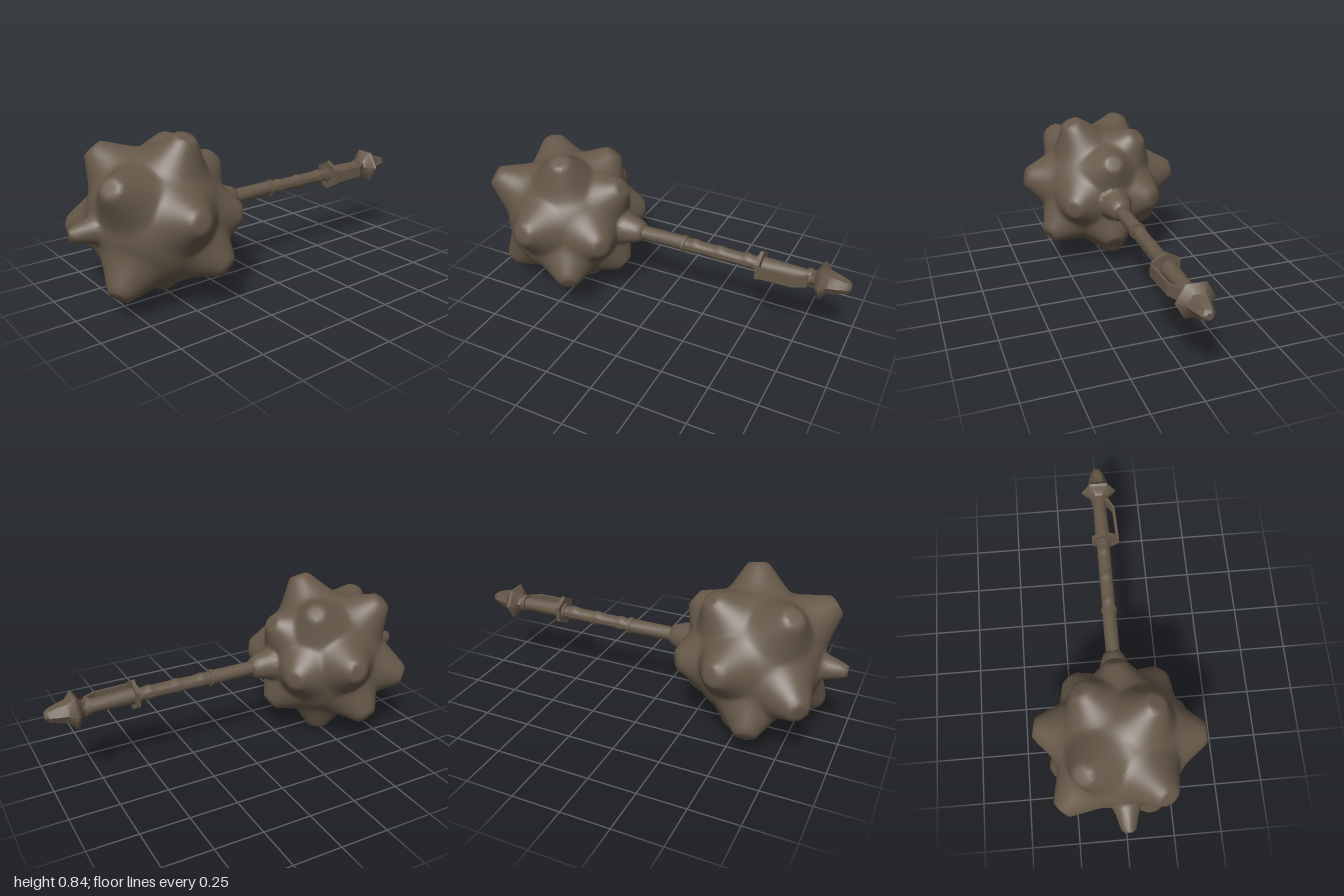
import * as THREE from 'three';
import { mergeVertices, toCreasedNormals } from 'three/addons/utils/BufferGeometryUtils.js';

const AXIS_Y = 0.42;

// Blunt spikes of the head, each given as the offset of its tip from the head centre
const SPIKES = [
  [0.165, 0.405, -0.07], [-0.2, 0.325, 0.22], [0.19, 0.245, 0.335], [-0.425, 0.07, -0.08],
  [-0.32, -0.08, 0.31], [0.15, -0.29, 0.305], [-0.08, -0.412, -0.07], [0.42, 0.085, 0.02],
  [0.335, -0.205, -0.18], [-0.345, -0.265, 0.07], [-0.18, 0.33, -0.185],
  [0, 0.235, -0.335], [0, -0.235, -0.335], [0.235, 0, -0.335], [-0.235, 0, -0.335],
].map(([x, y, z]) => ({ tip: new THREE.Vector3(x, y, z), inner: 0.115, outer: 0.56, power: 1.9 }));
// Narrow spike at the very front, and the neck that takes the shaft at the back
SPIKES.push({ tip: new THREE.Vector3(0, 0, 0.45), inner: 0.07, outer: 0.22, power: 1.5 });
SPIKES.push({ tip: new THREE.Vector3(0, 0, -0.455), inner: 0.11, outer: 0.27, power: 1.1 });

function headGeometry() {
  let geo = new THREE.IcosahedronGeometry(1, 26);
  geo.deleteAttribute('normal');
  geo.deleteAttribute('uv');
  geo = mergeVertices(geo, 1e-5);
  const pos = geo.attributes.position;
  const base = 0.335;
  const v = new THREE.Vector3();
  for (let i = 0; i < pos.count; i++) {
    v.fromBufferAttribute(pos, i).normalize();
    // concave flanks that run into one another as soft webs
    let sum = 0;
    for (const { tip, inner, outer, power } of SPIKES) {
      const t = THREE.MathUtils.clamp((outer - v.angleTo(tip)) / (outer - inner), 0, 1);
      sum += Math.pow((tip.length() - base) * Math.pow(t, power), 3);
    }
    const r = base + Math.cbrt(sum);
    pos.setXYZ(i, v.x * r, v.y * r, v.z * r);
  }
  geo.computeVertexNormals();
  return geo;
}

// Turned part along z from [z, radius] pairs in rising z
function turned(profile, sides) {
  const geo = new THREE.LatheGeometry(profile.map(([z, r]) => new THREE.Vector2(r, z)), sides);
  geo.rotateX(Math.PI / 2);
  return toCreasedNormals(geo, 0.8);
}

// Ring around the shaft between two z positions
const ring = (z0, z1, r) => turned([[z0, 0], [z0, r], [z1, r], [z1, 0]], 12);

// Grip with even width in x and finger swells in y
function gripGeometry() {
  const geo = new THREE.CylinderGeometry(1, 1, 0.42, 14, 42, true);
  geo.rotateX(Math.PI / 2);
  geo.translate(0, 0, -0.35);
  const pos = geo.attributes.position;
  for (let i = 0; i < pos.count; i++) {
    let h = 0.032;
    for (const z of [-0.48, -0.335, -0.195]) {
      h += 0.007 * Math.max(0, 1 - Math.abs(pos.getZ(i) - z) / 0.03);
    }
    pos.setXY(i, pos.getX(i) * 0.036, pos.getY(i) * h);
  }
  geo.computeVertexNormals();
  return toCreasedNormals(geo, 0.8);
}

export function createModel() {
  const group = new THREE.Group();
  const iron = new THREE.MeshStandardMaterial({ color: 0x665849 });
  iron.name = 'dark iron';

  const add = (name, geo, x = 0, y = AXIS_Y, z = 0) => {
    const mesh = new THREE.Mesh(geo, iron);
    mesh.name = name;
    mesh.position.set(x, y, z);
    group.add(mesh);
  };

  add('spikedHead', headGeometry(), 0, AXIS_Y, 0.55);

  // Shaft, grip and their rings
  add('upperShaft', turned([[-0.14, 0.037], [0.12, 0.037]], 12));
  add('shaftRing', ring(-0.15, -0.13, 0.043));
  add('grip', gripGeometry());
  add('guardRing', ring(-0.545, -0.53, 0.042));

  // Lower handle, widening a little towards the guard
  add('lowerHandle', turned([[-0.82, 0.034], [-0.56, 0.041]], 12));
  add('lowerRing', ring(-0.81, -0.785, 0.045));

  // Hexagonal guard plate
  const plate = new THREE.CylinderGeometry(0.08, 0.08, 0.018, 6);
  plate.rotateX(Math.PI / 2);
  add('guardPlate', toCreasedNormals(plate, 0.5), 0.012, AXIS_Y, -0.555);

  // Knuckle bow bent from the guard plate back to the handle
  const bow = new THREE.Shape();
  [[0.088, -0.55], [0.08, -0.74], [0.05, -0.795], [0.02, -0.81], [0.02, -0.79],
    [0.042, -0.78], [0.067, -0.735], [0.074, -0.55]]
    .forEach(([x, z], i) => (i ? bow.lineTo(x, -z) : bow.moveTo(x, -z)));
  const bowGeo = new THREE.ExtrudeGeometry(bow, { depth: 0.06, bevelEnabled: false });
  bowGeo.rotateX(-Math.PI / 2);
  add('knuckleBow', bowGeo, 0, AXIS_Y - 0.03);

  // Bell-shaped pommel with a blunt nose
  const pommel = turned([[-1, 0], [-1, 0.018], [-0.985, 0.032], [-0.94, 0.047],
    [-0.895, 0.058], [-0.86, 0.096], [-0.845, 0.083], [-0.825, 0.042], [-0.805, 0.035]], 6);
  pommel.rotateZ(Math.PI / 2);
  add('pommel', pommel);

  return group;
}
